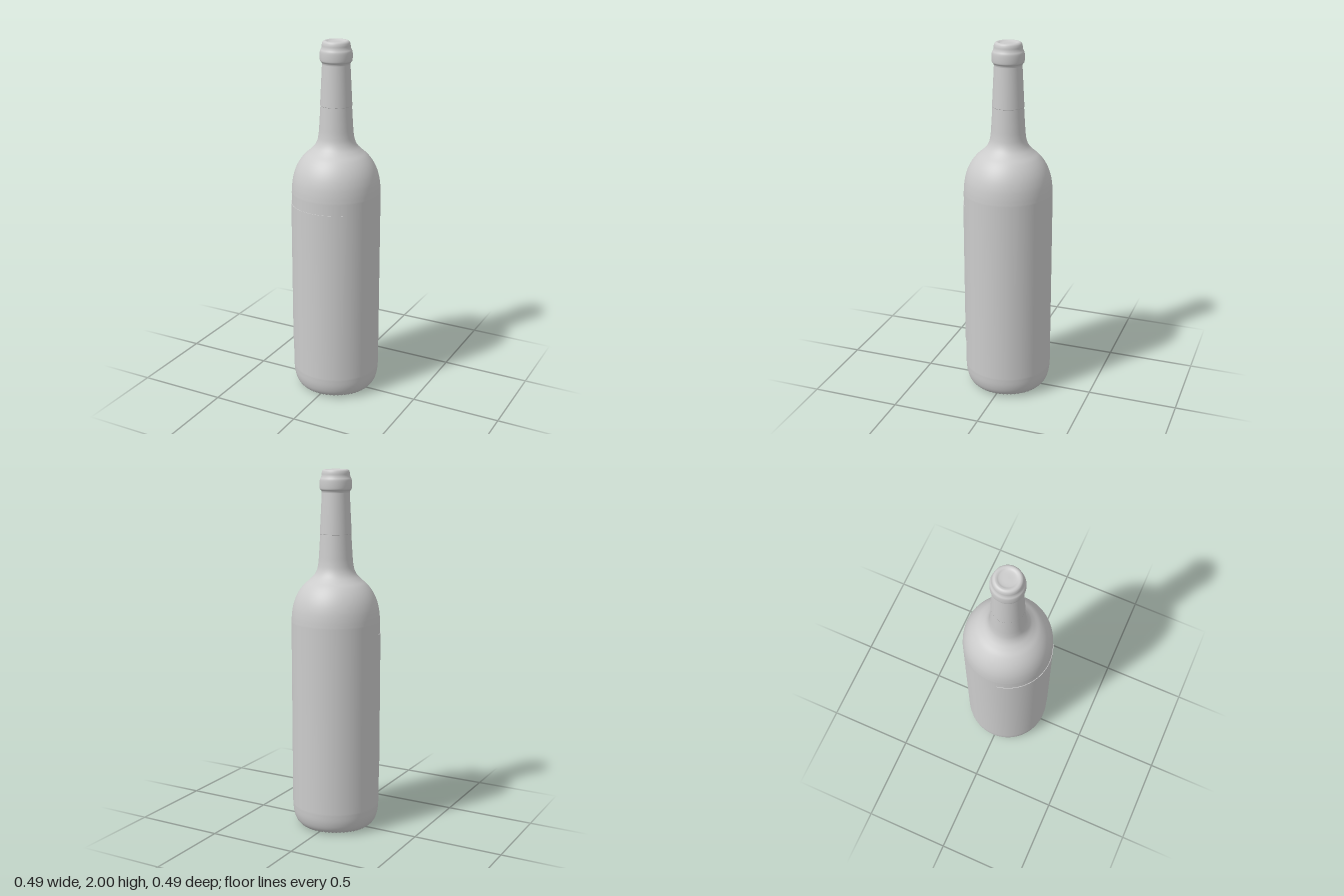
import * as THREE from 'three';
import { mergeVertices } from 'three/addons/utils/BufferGeometryUtils.js';

const SEGMENTS = 240;
const RIBS = 60;
const BODY_RADIUS = 0.245;

const material = new THREE.MeshStandardMaterial({ color: 0xcccccc, roughness: 0.6 });
const labelMaterial = material.clone();
labelMaterial.side = THREE.DoubleSide;

// Smooth profile through [radius, height] pairs
function profile(points, samples) {
  const curve = new THREE.CatmullRomCurve3(points.map(([r, y]) => new THREE.Vector3(r, y, 0)), false, 'centripetal');
  return curve.getPoints(samples).map((p) => new THREE.Vector2(Math.max(0, p.x), p.y));
}

function addMesh(group, name, geometry, mat = material) {
  const mesh = new THREE.Mesh(geometry, mat);
  mesh.name = name;
  group.add(mesh);
  return mesh;
}

// Hollow base, straight wall, rounded shoulder and neck, turned as one skin
function createGlass() {
  const base = profile([
    [0, 0.08], [0.06, 0.075], [0.11, 0.058], [0.15, 0.03], [0.168, 0.012], [0.182, 0.003],
    [0.195, 0.004], [0.212, 0.014], [0.228, 0.036], [0.24, 0.075], [BODY_RADIUS, 0.13],
  ], 50);
  const shoulder = profile([
    [BODY_RADIUS, 1.17], [0.242, 1.215], [0.235, 1.26], [0.221, 1.305], [0.2, 1.345], [0.172, 1.38],
    [0.14, 1.408], [0.116, 1.434], [0.102, 1.463], [0.095, 1.5], [0.091, 1.55], [0.0845, 1.66],
  ], 50);
  const lathe = new THREE.LatheGeometry([...base, ...shoulder], SEGMENTS);

  // Grip ribs: a ripple in height around the standing ring
  const pos = lathe.attributes.position;
  for (let i = 0; i < pos.count; i++) {
    const x = pos.getX(i), y = pos.getY(i), z = pos.getZ(i);
    const fade = Math.max(0, 1 - Math.abs(Math.hypot(x, z) - 0.19) / 0.026);
    if (y < 0.06 && fade > 0) {
      const wave = 0.5 - 0.5 * Math.cos(RIBS * Math.atan2(x, z));
      pos.setY(i, y - 0.003 * fade + 0.011 * fade * wave);
    }
  }
  lathe.deleteAttribute('uv');
  lathe.deleteAttribute('normal');
  const glass = mergeVertices(lathe, 1e-5);
  glass.computeVertexNormals();
  return glass;
}

// Foil sleeve with lip ring and slightly dished top
function createCapsule() {
  const sleeve = [[0.083, 1.655], [0.0865, 1.655], [0.0865, 1.657], [0.0755, 1.876]]
    .map(([r, y]) => new THREE.Vector2(r, y));
  const lip = profile([
    [0.0755, 1.878], [0.078, 1.886], [0.085, 1.894], [0.087, 1.905], [0.087, 1.935], [0.085, 1.948],
    [0.08, 1.958], [0.077, 1.968], [0.0755, 1.982], [0.071, 1.994], [0.062, 2], [0.053, 1.999],
    [0.044, 1.995], [0.03, 1.993], [0, 1.993],
  ], 60);
  return new THREE.LatheGeometry([...sleeve, ...lip], 96);
}

// Thin paper wrapped part of the way round the body
function createLabel(bottom, top, start, end) {
  const inner = BODY_RADIUS - 0.001, outer = BODY_RADIUS + 0.003;
  const section = [[inner, bottom], [outer, bottom], [outer, bottom], [outer, top], [outer, top], [inner, top]]
    .map(([r, y]) => new THREE.Vector2(r, y));
  return new THREE.LatheGeometry(section, 72, start, end - start);
}

export function createModel() {
  const model = new THREE.Group();
  model.name = 'bottle';
  const parts = new THREE.Group();
  parts.name = 'bottleParts';
  parts.position.set(0.001, 0, -0.002);
  model.add(parts);

  addMesh(parts, 'glassBody', createGlass());
  addMesh(parts, 'foilCapsule', createCapsule());
  addMesh(parts, 'label', createLabel(0.28, 1.11, -1.41, 0.63), labelMaterial);
  return model;
}
